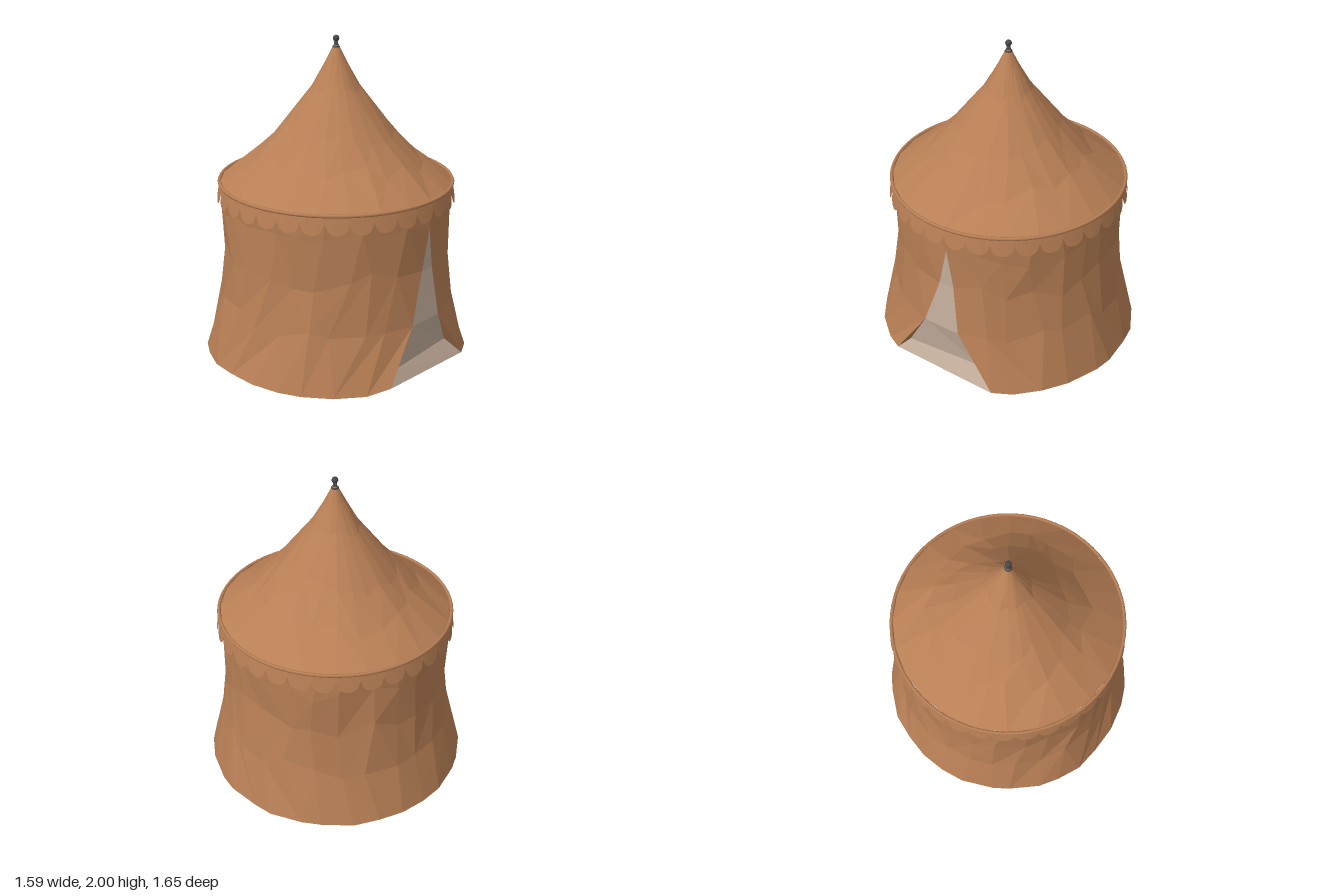
import * as THREE from 'three';

const CX = 0.03; // the tent axis sits slightly off centre because of the door side
const cloth = new THREE.MeshStandardMaterial({ color: 0xb87f55, flatShading: true, side: THREE.DoubleSide });
const trim = new THREE.MeshStandardMaterial({ color: 0xb87f55, side: THREE.DoubleSide });
const lining = new THREE.MeshStandardMaterial({ color: 0xc4ae9c, flatShading: true, side: THREE.DoubleSide });
const iron = new THREE.MeshStandardMaterial({ color: 0x484848 });

// repeatable noise in -1..1
const noise = (i, j) => {
  const s = Math.sin(i * 12.9898 + j * 78.233 + 4.1) * 43758.5453;
  return (s - Math.floor(s)) * 2 - 1;
};

const polar = (r, a, y) => [CX + r * Math.cos(a), y, r * Math.sin(a)];

// surface through rows of points, listed from bottom to top
function loft(rows, mixed = false) {
  const n = rows[0].length;
  const index = [];
  for (let j = 0; j < rows.length - 1; j++) {
    for (let i = 0; i < n - 1; i++) {
      const a = j * n + i, b = a + 1, c = a + n, d = c + 1;
      if (mixed && noise(i + 40, j) > 0) index.push(a, c, b, b, c, d);
      else index.push(a, c, d, a, d, b);
    }
  }
  const geo = new THREE.BufferGeometry();
  geo.setAttribute('position', new THREE.Float32BufferAttribute(rows.flat(2), 3));
  geo.setIndex(index);
  geo.computeVertexNormals();
  return geo;
}

export function createModel() {
  const group = new THREE.Group();
  const add = (name, geo, mat, y = 0, x = 0) => {
    const mesh = new THREE.Mesh(geo, mat);
    mesh.name = name;
    mesh.position.set(x, y, 0);
    group.add(mesh);
  };

  // wall: height, radius, door edge at +z, door edge at -z
  const levels = [
    [0, 0.832, 0.39, 0.33],
    [0.35, 0.745, 0.17, 0.08],
    [0.67, 0.712, 0.06, 0.04],
    [0.93, 0.715, 0, 0],
    [1.1, 0.72, 0, 0],
  ];
  const sides = 26;
  const wall = levels.map(([y, r, zl, zr], j) => {
    const a0 = Math.asin(zl / r), a1 = Math.PI * 2 - Math.asin(zr / r);
    const row = [];
    for (let i = 0; i <= sides; i++) {
      const inner = i > 0 && i < sides;
      const k = inner ? 1 : 0;
      const wobble = j === 0 || j === 4 ? 0 : k;
      const lift = j === 0 && i === 0 ? 0.03 : wobble * 0.06 * noise(i, j + 7);
      const a = a0 + (a1 - a0) * (i / sides) + k * 0.05 * noise(i, j + 20);
      row.push(polar(r + k * 0.009 * noise(i, j), a, y + lift));
    }
    return row;
  });
  add('wall', loft(wall, true), cloth);

  // door lining: follows the opening, with a sloping strip at the ground
  const edge = (j) => [wall[j][0], wall[j][sides]];
  const sill = [[0.73, 0.11, 0.31], [0.73, 0.12, -0.22]];
  const doorRows = [edge(0), sill, edge(1), edge(2), edge(3)];
  add('doorPanel', loft(doorRows.map((r) => [r[1], r[0]])), lining);

  // turned-back cloth at both sides of the door
  [0, 1].forEach((s) => {
    const geo = new THREE.BufferGeometry();
    const pts = [edge(0)[s], sill[s], edge(1)[s]];
    geo.setAttribute('position', new THREE.Float32BufferAttribute(pts.flat(), 3));
    geo.computeVertexNormals();
    add(s ? 'rightDoorFold' : 'leftDoorFold', geo, cloth);
  });

  // sagging conical roof
  const roofProfile = [
    [0.72, 1.1], [0.5, 1.27], [0.35, 1.43], [0.15, 1.69], [0.065, 1.84], [0.016, 1.94],
  ];
  const roofSides = 24;
  const roof = roofProfile.map(([r, y], j) => {
    const k = j === 0 || j === 5 ? 0 : 1;
    const row = [];
    for (let i = 0; i <= roofSides; i++) {
      const m = i % roofSides;
      const a = (i / roofSides) * Math.PI * 2 + k * 0.06 * noise(m, j + 60);
      const slide = k * 0.12 * noise(m, j + 33);
      row.push(polar(r * (1 + slide + k * 0.015 * noise(m, j + 50)), a, y - slide * r * (0.85 + j * 0.2)));
    }
    return row;
  });
  add('roof', loft(roof, true), cloth);

  // rim cord
  const rim = new THREE.TorusGeometry(0.727, 0.011, 6, 64);
  rim.rotateX(Math.PI / 2);
  add('rim', rim, trim, 1.1, CX);

  // scalloped valance
  const scallops = 32, steps = 8;
  const top = [], bottom = [];
  for (let i = 0; i <= scallops * steps; i++) {
    const a = (i / (scallops * steps)) * Math.PI * 2;
    const t = ((i % steps) / steps) * 2 - 1;
    const drop = 0.045 + 0.07 * Math.sqrt(1 - t * t);
    top.push(polar(0.725, a, 1.1));
    bottom.push(polar(0.728 + drop * 0.15, a, 1.1 - drop));
  }
  add('valance', loft([bottom, top]), trim);

  // finial
  const stem = [[0, 1.92], [0.023, 1.92], [0.023, 1.932], [0.014, 1.94], [0.01, 1.97], [0, 1.97]];
  add('finialStem', new THREE.LatheGeometry(stem.map((p) => new THREE.Vector2(...p)), 12), iron, 0, CX);
  add('finialBall', new THREE.SphereGeometry(0.02, 12, 8), iron, 1.98, CX);

  return group;
}
